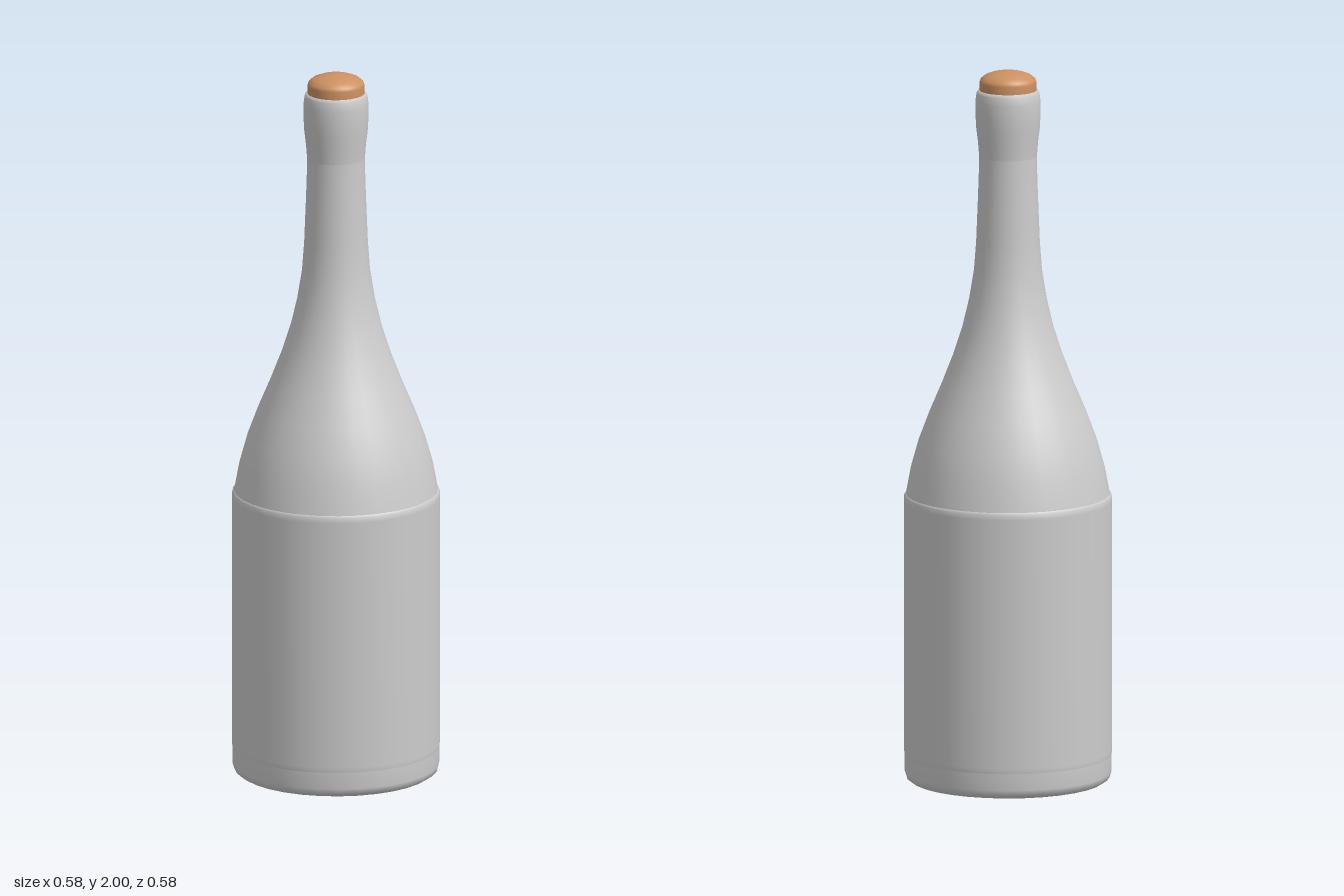
import * as THREE from 'three';

const SEGMENTS = 32;

// Revolves [radius, height] pairs, listed from bottom to top on the outside.
function turned(name, points, material) {
  const profile = points.map(([r, y]) => new THREE.Vector2(r, y));
  const mesh = new THREE.Mesh(new THREE.LatheGeometry(profile, SEGMENTS), material);
  mesh.name = name;
  return mesh;
}

export function createModel() {
  const glass = new THREE.MeshStandardMaterial({ color: 0xcccccc });
  glass.name = 'paleGreyGlass';
  const corkBrown = new THREE.MeshStandardMaterial({ color: 0xcc9162 });
  corkBrown.name = 'corkBrown';

  const bottle = new THREE.Group();
  bottle.name = 'bottle';

  // Hollow underside, rising to a rounded point
  bottle.add(turned('punt', [
    [0, 0.17], [0.04, 0.162], [0.09, 0.13], [0.14, 0.085],
    [0.185, 0.04], [0.215, 0.012], [0.235, 0.002],
  ], glass));

  // Foot ring and rounded bottom edge
  bottle.add(turned('foot', [
    [0.235, 0.002], [0.25, 0], [0.268, 0.003], [0.281, 0.012], [0.286, 0.028], [0.286, 0.075],
  ], glass));

  // Straight wall, a hair wider than the shoulder
  bottle.add(turned('body', [
    [0.286, 0.075], [0.288, 0.09], [0.288, 0.79], [0.287, 0.805], [0.282, 0.81],
  ], glass));

  // Sloping shoulder and slim neck
  bottle.add(turned('shoulderAndNeck', [
    [0.282, 0.81], [0.268, 0.885], [0.247, 0.96], [0.217, 1.04], [0.183, 1.12],
    [0.152, 1.2], [0.126, 1.28], [0.107, 1.36], [0.094, 1.44], [0.088, 1.52],
    [0.084, 1.62], [0.081, 1.7], [0.08, 1.76],
  ], glass));

  // Swollen mouth, turning inward over the rim
  bottle.add(turned('mouth', [
    [0.08, 1.76], [0.083, 1.8], [0.088, 1.84], [0.09, 1.88], [0.09, 1.915],
    [0.087, 1.938], [0.082, 1.947], [0.076, 1.945], [0.074, 1.92],
  ], glass));

  // Domed stopper
  bottle.add(turned('cork', [
    [0.078, 1.91], [0.079, 1.94], [0.079, 1.968], [0.076, 1.977],
    [0.064, 1.987], [0.045, 1.994], [0.022, 1.999], [0, 2],
  ], corkBrown));

  return bottle;
}
